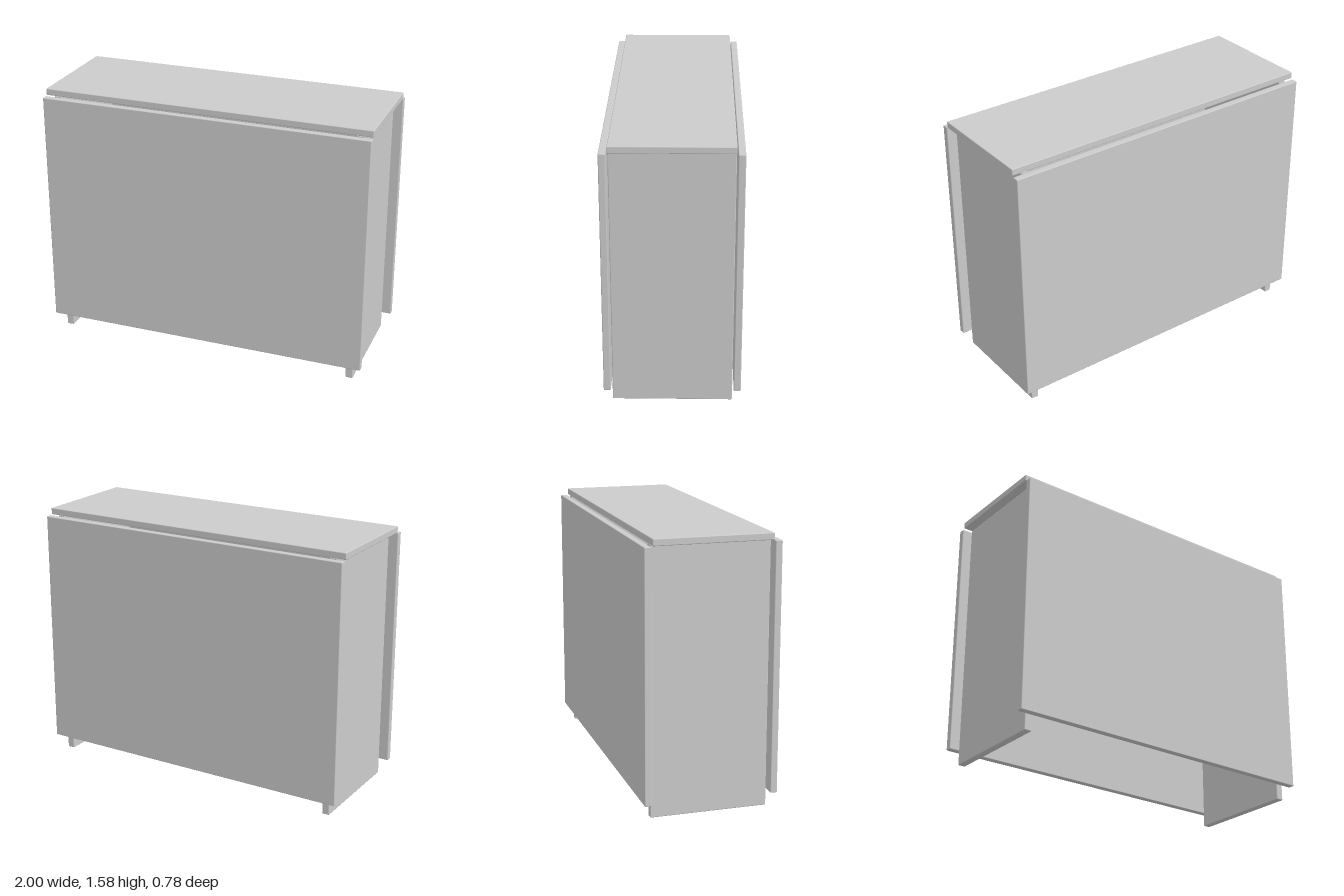
import * as THREE from 'three';
import { RoundedBoxGeometry } from 'three/addons/geometries/RoundedBoxGeometry.js';

export function createModel() {
  const group = new THREE.Group();
  const material = new THREE.MeshStandardMaterial({ color: 0xcccccc });

  // A board with softly eased edges, given by its limits on each axis
  function board(name, [x0, x1], [y0, y1], [z0, z1]) {
    const geometry = new RoundedBoxGeometry(x1 - x0, y1 - y0, z1 - z0, 2, 0.005);
    const mesh = new THREE.Mesh(geometry, material);
    mesh.position.set((x0 + x1) / 2, (y0 + y1) / 2, (z0 + z1) / 2);
    mesh.name = name;
    group.add(mesh);
  }

  // Fixed narrow table top
  board('tableTop', [-1, 1], [1.54, 1.58], [-0.342, 0.342]);

  // Upright end panels that carry the top
  board('leftEndPanel', [0.9, 0.945], [0, 1.541], [-0.342, 0.342]);
  board('rightEndPanel', [-0.945, -0.9], [0, 1.541], [-0.342, 0.342]);

  // Folded leaves hanging at the front and back
  board('frontLeaf', [-1, 1], [0.09, 1.537], [0.349, 0.389]);
  board('backLeaf', [-1, 1], [0.09, 1.537], [-0.389, -0.349]);

  return group;
}
